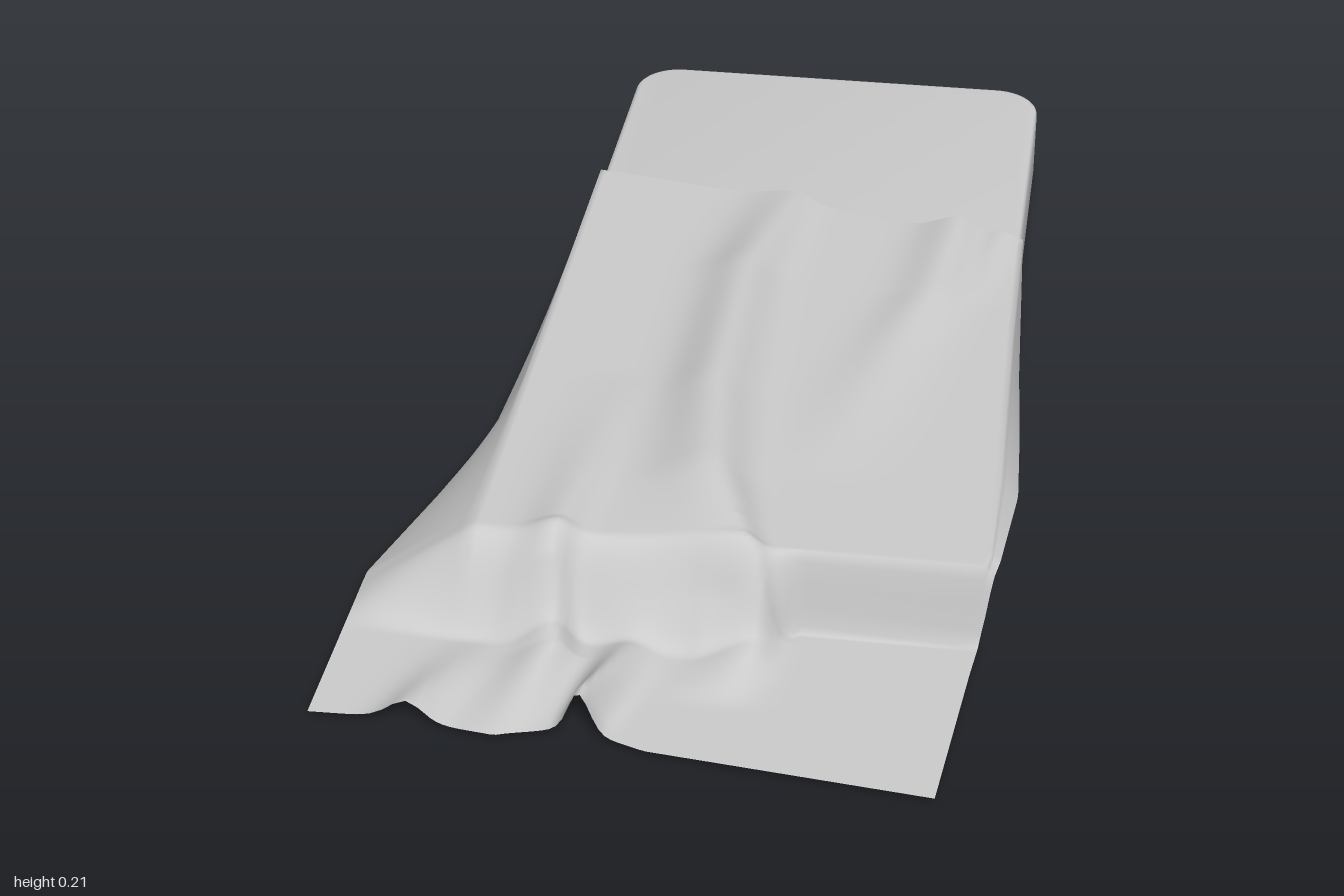
import * as THREE from 'three';
import { toCreasedNormals } from 'three/addons/utils/BufferGeometryUtils.js';

const clamp = (v) => Math.min(1, Math.max(0, v));
const lerp = THREE.MathUtils.lerp;
const smooth = (v, a, b) => THREE.MathUtils.smoothstep(v, a, b);

// Interpolates a table of rows keyed by their first column
function sample(table, t) {
  if (t <= table[0][0]) return table[0].slice(1);
  for (let i = 1; i < table.length; i++) {
    const a = table[i - 1], b = table[i];
    if (t <= b[0]) {
      const k = (t - a[0]) / (b[0] - a[0]);
      return a.slice(1).map((v, j) => lerp(v, b[j + 1], k));
    }
  }
  return table[table.length - 1].slice(1);
}

// Blanket outline by z: left hem x, left hem y, left shoulder x, right shoulder x, right hem x, right hem y
const OUTLINE = [
  [-0.5, -0.355, 0.05, -0.332, 0.479, 0.483, 0.01],
  [-0.1, -0.385, 0.02, -0.332, 0.482, 0.497, 0.055],
  [0.15, -0.402, 0.012, -0.332, 0.486, 0.511, 0.085],
  [0.35, -0.455, 0.012, -0.332, 0.49, 0.52, 0.11],
  [0.57, -0.52, 0.012, -0.332, 0.49, 0.505, 0.14],
  [0.605, -0.521, 0.012, -0.332, 0.485, 0.498, 0.135],
  [0.625, -0.521, 0.012, -0.332, 0.47, 0.48, 0.1],
  [0.95, -0.525, 0.012, -0.332, 0.435, 0.443, 0.1],
];
// Offsets of the back and front hems by x
const BACK = [[-0.355, -0.055], [-0.03, 0], [0.08, 0.02], [0.3, 0.08], [0.48, 0.1]];
const FRONT = [[-0.525, -0.02], [-0.37, -0.025], [-0.23, 0], [-0.12, -0.04], [0, 0], [0.44, 0.045]];
// Where the cloth reaches the floor in front, by x
const FLOOR_Z = [[-0.5, 0.72], [-0.25, 0.74], [-0.15, 0.71], [0.05, 0.73], [0.14, 0.7], [0.19, 0.635], [0.5, 0.63]];

// Folds by z: centre x, height, left width, right width
const FOLDS = [
  [[-0.5, 0.05, 0.02, 0.07, 0.035], [-0.2, 0, 0.045, 0.07, 0.05], [0.2, 0, 0.055, 0.07, 0.06],
    [0.45, 0.035, 0.052, 0.09, 0.05], [0.6, 0.1, 0.03, 0.12, 0.03], [0.66, 0.14, 0.045, 0.06, 0.025],
    [0.72, 0.13, 0.03, 0.07, 0.03], [0.82, 0.09, 0, 0.06, 0.05]],
  [[0.15, -0.17, 0, 0.06, 0.04], [0.45, -0.18, 0.018, 0.06, 0.035], [0.6, -0.19, 0.026, 0.05, 0.03],
    [0.66, -0.19, 0.06, 0.06, 0.025], [0.76, -0.175, 0.04, 0.06, 0.03], [0.95, -0.22, 0.004, 0.06, 0.04]],
  [[0.66, -0.05, 0, 0.05, 0.05], [0.72, -0.06, 0.02, 0.04, 0.04], [0.93, -0.105, 0.07, 0.022, 0.025]],
  [[0.72, -0.3, 0, 0.05, 0.05], [0.95, -0.37, 0.034, 0.04, 0.035]],
  [[-0.5, 0.36, 0.032, 0.06, 0.035], [-0.2, 0.33, 0.026, 0.06, 0.05], [0.15, 0.25, 0.012, 0.07, 0.07], [0.4, 0.2, 0, 0.08, 0.08]],
  [[-0.5, 0.44, 0.014, 0.03, 0.025], [-0.2, 0.41, 0, 0.03, 0.03]],
];

function foldHeight(x, z) {
  let h = 0;
  for (const fold of FOLDS) {
    const [cx, height, wl, wr] = sample(fold, z);
    h += height * Math.exp(-(((x - cx) / (x < cx ? wl : wr)) ** 2));
  }
  return h;
}

// Rows are packed closer where the cloth drops over the front edge
function rowPositions() {
  const rows = [];
  for (const [from, to, n] of [[-0.5, 0.56, 44], [0.56, 0.76, 32], [0.76, 0.95, 14]]) {
    for (let i = 0; i < n; i++) rows.push(lerp(from, to, i / n));
  }
  return [...rows, 0.95];
}

function blanketGeometry() {
  const LEFT = 10, TOP = 80, RIGHT = 6, COLS = LEFT + TOP + RIGHT;
  const rows = rowPositions(), pos = [], index = [];
  rows.forEach((zr, r) => {
    const [lx, ly, tl, tr, rx, ry] = sample(OUTLINE, zr);
    for (let c = 0; c <= COLS; c++) {
      let x, y = 0.153, foldAmount = 1;
      if (c < LEFT) { // left skirt
        const k = c / LEFT;
        x = lerp(lx, tl, k);
        y = lerp(ly, 0.153, k);
        foldAmount = zr > 0.7 ? 1 : k;
      } else if (c <= LEFT + TOP) { // cloth lying on top
        x = lerp(tl, tr, (c - LEFT) / TOP);
      } else { // right skirt
        const k = (c - LEFT - TOP) / RIGHT;
        x = lerp(tr, rx, k);
        y = lerp(0.148, ry, k);
        foldAmount = 1 - k;
      }
      const drop = 1 - smooth(zr, 0.603, sample(FLOOR_Z, x)[0]);
      y = 0.012 + (y - 0.012) * drop + foldHeight(x, zr) * foldAmount;
      const z = zr + sample(BACK, x)[0] * clamp(-zr / 0.5) + sample(FRONT, x)[0] * clamp((zr - 0.7) / 0.25);
      pos.push(x, y, z);
      if (r < rows.length - 1 && c < COLS) {
        const a = r * (COLS + 1) + c, b = a + COLS + 1;
        index.push(a, b, a + 1, a + 1, b, b + 1);
      }
    }
  });
  const geo = new THREE.BufferGeometry();
  geo.setAttribute('position', new THREE.Float32BufferAttribute(pos, 3));
  geo.setIndex(index);
  geo.computeVertexNormals();
  return geo;
}

// Slab with rounded corners and a softened rim
function mattressGeometry() {
  const bevel = 0.01, w = 0.4 - bevel, l = 0.8 - bevel, r = 0.075;
  const s = new THREE.Shape();
  s.absarc(w - r, l - r, r, 0, Math.PI / 2);
  s.absarc(-w + r, l - r, r, Math.PI / 2, Math.PI);
  s.absarc(-w + r, -l + r, r, Math.PI, Math.PI * 1.5);
  s.absarc(w - r, -l + r, r, Math.PI * 1.5, Math.PI * 2);
  const geo = new THREE.ExtrudeGeometry(s, {
    depth: 0.146 - 2 * bevel, bevelThickness: bevel, bevelSize: bevel, bevelSegments: 3, curveSegments: 8,
  });
  geo.rotateX(-Math.PI / 2);
  geo.translate(0.075, bevel, -0.2);
  return toCreasedNormals(geo, 0.6);
}

export function createModel() {
  const group = new THREE.Group();
  group.name = 'mattressWithBlanket';
  const mattress = new THREE.Mesh(mattressGeometry(), new THREE.MeshStandardMaterial({ color: 0xcccccc }));
  mattress.name = 'mattress';
  const blanket = new THREE.Mesh(blanketGeometry(),
    new THREE.MeshStandardMaterial({ color: 0xcccccc, side: THREE.DoubleSide }));
  blanket.name = 'blanket';
  group.add(mattress, blanket);
  return group;
}
